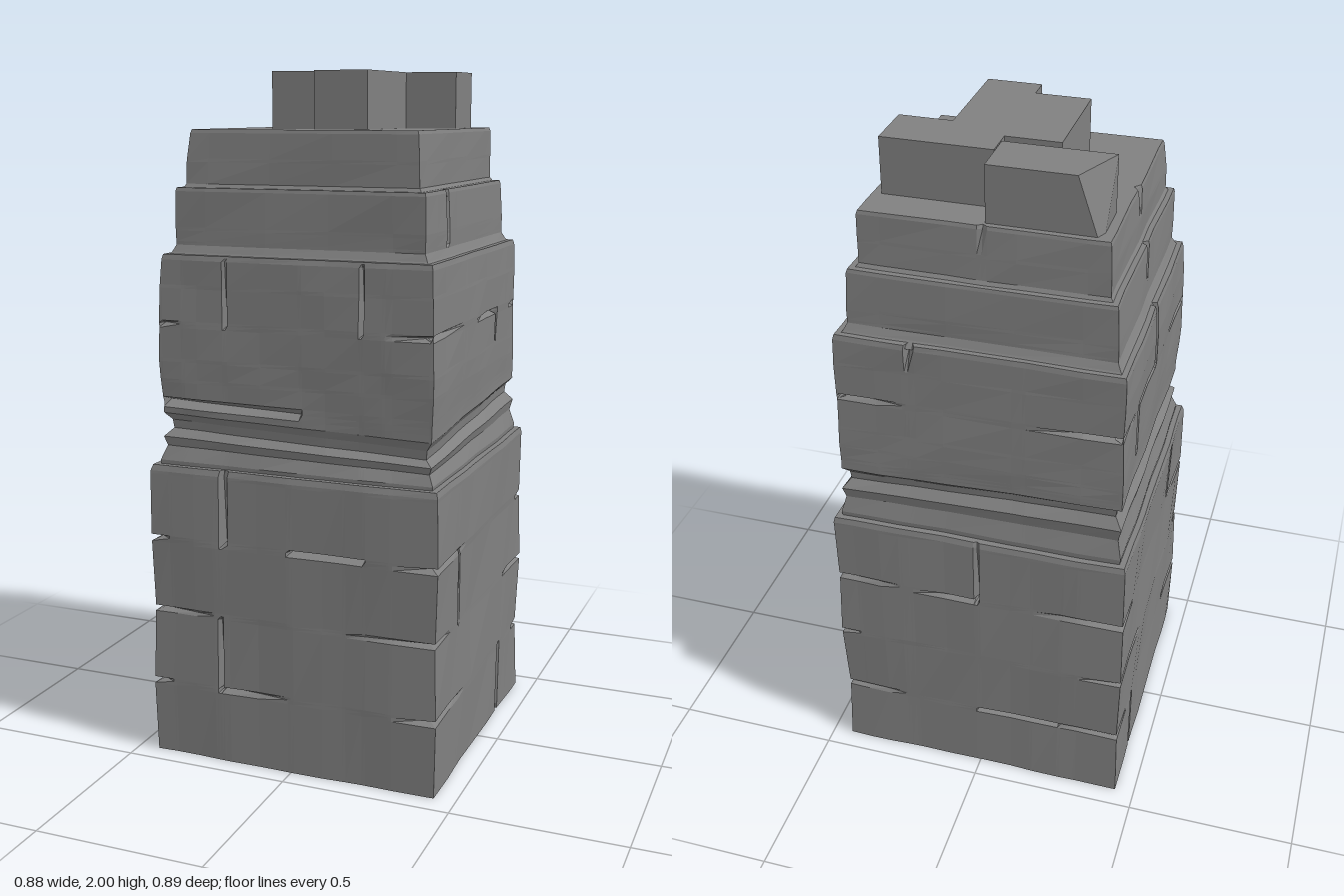
import * as THREE from 'three';

const stone = new THREE.MeshStandardMaterial({ color: 0x808080, flatShading: true });
// Wall directions: front, right (+x), back, left (-x); outward normal n and tangent t as [x, z]
const SIDES = [0, 1, 2, 3].map((k) => {
  const s = Math.round(Math.sin(k * Math.PI / 2)), c = Math.round(Math.cos(k * Math.PI / 2));
  return { n: [s, c], t: [c, -s] };
});
const EPS = 0.005;

// Cracks run along a wall (level) or up it (upright), with a depth at each end
const crack = (kind, side, at, from, to, d0, d1 = d0, w = 0.008) => ({ kind, side, at, from, to, d0, d1, w });
const level = (...args) => crack('level', ...args);
const upright = (...args) => crack('upright', ...args);

// Level joints opening at both corners of every wall, with varied lengths
function cornerJoints(heights, half) {
  return heights.flatMap((y, j) => SIDES.flatMap((_, s) => {
    const length = (k) => 0.06 + 0.07 * ((3 * s + 2 * j + k) % 4);
    return [level(s, y, -half, length(0) - half, 0.025, 0), level(s, y, half - length(1), half, 0, 0.025)];
  }));
}

// Sorted grid lines without near duplicates
const tidy = (list, lo, hi) => [...list, lo, hi].filter((v) => v >= lo && v <= hi)
  .sort((a, b) => a - b).filter((v, i, s) => i === 0 || v - s[i - 1] > 0.004);

function radiusAt(profile, y) {
  const i = Math.max(1, profile.findIndex((p) => y <= p[0]));
  const [y0, r0] = profile[i - 1], [y1, r1] = profile[i];
  return r0 + (r1 - r0) * (y - y0) / (y1 - y0);
}

// Uneven hewn surface
const wobble = (x, y, z) => 0.002 * Math.sin(9 * x + 13 * y + 4 * z)
  + 0.002 * Math.sin(17 * z - 11 * y + 2) + 0.0015 * Math.sin(23 * x + 31 * y);

function named(name, geo) {
  const mesh = new THREE.Mesh(geo, stone);
  mesh.name = name;
  return mesh;
}

// Square tier lofted through [height, half width] rings, with V-shaped cracks pushed in
function tier(name, profile, cracks, tilt = () => 0) {
  const bottom = profile[0][0], top = profile[profile.length - 1][0];
  const ref = Math.max(...profile.map((p) => p[1]));
  const rowList = profile.map((p) => p[0]);
  const colLists = SIDES.map(() => [-0.3, -0.1, 0.1, 0.3]);
  for (const { kind, side, at, from, to, w } of cracks) {
    const across = [at - w, at, at + w], along = [from - 0.01, from, to, to + 0.01];
    rowList.push(...(kind === 'level' ? across : along));
    colLists[side].push(...(kind === 'level' ? along : across));
  }
  const cols = colLists.map((list) => tidy(list, -ref, ref).slice(0, -1));
  const rings = tidy(rowList, bottom, top).map((y) => {
    const scale = radiusAt(profile, y) / ref, ring = [];
    SIDES.forEach(({ n, t }, k) => {
      for (const u of cols[k]) {
        const x = n[0] * ref + t[0] * u, z = n[1] * ref + t[1] * u;
        const p = [x * scale, z * scale];
        SIDES.forEach((wall, s) => {
          if (x * wall.n[0] + z * wall.n[1] < ref - 1e-6) return;
          const su = x * wall.t[0] + z * wall.t[1];
          let d = wobble(x, y, z);
          for (const c of cracks) {
            const [a, l] = c.kind === 'level' ? [y, su] : [su, y];
            if (c.side !== s || Math.abs(a - c.at) > EPS || l < c.from - EPS || l > c.to + EPS) continue;
            d -= THREE.MathUtils.lerp(c.d0, c.d1, THREE.MathUtils.clamp((l - c.from) / (c.to - c.from), 0, 1));
          }
          p[0] += wall.n[0] * d;
          p[1] += wall.n[1] * d;
        });
        ring.push([p[0], y + tilt(x, y, z), p[1]]);
      }
    });
    return ring;
  });
  const pos = [], tri = (a, b, c) => pos.push(...a, ...b, ...c);
  const count = rings[0].length, last = rings[rings.length - 1];
  for (let i = 0; i < count; i++) {
    const k = (i + 1) % count;
    for (let j = 0; j + 1 < rings.length; j++) {
      tri(rings[j][i], rings[j][k], rings[j + 1][k]);
      tri(rings[j][i], rings[j + 1][k], rings[j + 1][i]);
    }
    tri(last[i], last[k], [0, top, 0]);
    tri(rings[0][k], rings[0][i], [0, bottom + 0.018, 0]);
  }
  const geo = new THREE.BufferGeometry();
  geo.setAttribute('position', new THREE.Float32BufferAttribute(pos, 3));
  geo.computeVertexNormals();
  return named(name, geo);
}

function block(name, x0, x1, z0, z1, y0 = 1.8, y1 = 2) {
  const geo = new THREE.BoxGeometry(x1 - x0, y1 - y0, z1 - z0);
  geo.translate((x0 + x1) / 2, (y0 + y1) / 2, (z0 + z1) / 2);
  return named(name, geo);
}

const square = (Type, h) => new Type([[-h, -h], [h, -h], [h, h], [-h, h]].map(([x, y]) => new THREE.Vector2(x, y)));

export function createModel() {
  const tower = new THREE.Group();
  tower.name = 'stoneTower';

  // Lower body: four rough courses of masonry
  tower.add(tier('lowerBody', [[0, 0.438], [0.45, 0.439], [0.872, 0.439], [0.887, 0.434]], [
    ...cornerJoints([0.225, 0.45, 0.67], 0.44),
    level(0, 0.225, -0.22, 0, 0.025, 0),
    upright(0, -0.22, 0.225, 0.44, 0.025, 0.01),
    level(0, 0.67, 0, 0.22, 0.04, 0.04, 0.013),
    upright(0, -0.21, 0.67, 0.887, 0.04, 0.02, 0.018),
    upright(1, -0.23, 0.45, 0.66, 0.005, 0.03),
    upright(1, 0.21, 0, 0.225, 0.03, 0.03, 0.012),
    level(2, 0.67, -0.2, 0, 0, 0.03),
    upright(2, 0, 0.67, 0.887, 0.03, 0.005),
    level(2, 0.225, 0, 0.25, 0.035, 0.035, 0.012),
    upright(3, 0.22, 0.68, 0.86, 0.035, 0.035, 0.014),
    upright(3, -0.24, 0, 0.225, 0.02),
  ]));

  // Underside: slab with a square joint around its middle stone
  const slab = square(THREE.Shape, 0.43);
  slab.holes.push(square(THREE.Path, 0.24));
  const slabGeo = new THREE.ExtrudeGeometry(slab, { depth: 0.025, bevelEnabled: false });
  slabGeo.rotateX(-Math.PI / 2);
  tower.add(named('baseSlab', slabGeo), block('baseStone', -0.225, 0.225, -0.225, 0.225, 0, 0.025));

  // Pinched, slanting waist and the upper body
  const slant = (x, y, z) => -(0.035 * x + 0.06 * z) * Math.max(0, 1 - Math.abs(y - 1.01) / 0.12);
  tower.add(tier('waistAndUpperBody', [[0.86, 0.415], [0.9, 0.418], [0.945, 0.402], [0.975, 0.41],
    [1, 0.388], [1.025, 0.392], [1.045, 0.41], [1.48, 0.408], [1.495, 0.404]], [
    ...cornerJoints([1.3], 0.41),
    level(0, 1.075, -0.42, 0.02, 0.05, 0.02, 0.014),
    upright(0, -0.21, 1.3, 1.48, 0.02, 0.005),
    upright(0, 0.21, 1.3, 1.48, 0.03, 0.01),
    level(1, 1.3, 0, 0.21, 0, 0.03),
    upright(1, 0.21, 1.2, 1.3, 0, 0.03),
    upright(2, -0.2, 1.41, 1.495, 0, 0.04, 0.02),
    upright(3, 0, 1.3, 1.495, 0.035, 0.035, 0.013),
    level(3, 1.3, -0.22, 0, 0.035, 0.035, 0.012),
    upright(3, -0.22, 1.14, 1.3, 0.01, 0.035, 0.012),
  ], slant));

  // Two stepped tiers
  tower.add(tier('lowerStep', [[1.48, 0.4], [1.5, 0.385], [1.52, 0.374], [1.67, 0.37], [1.68, 0.367]], [
    upright(1, -0.19, 1.53, 1.68, 0.01, 0.04, 0.014),
    upright(3, 0, 1.57, 1.68, 0, 0.02, 0.015),
  ]));
  tower.add(tier('upperStep', [[1.66, 0.365], [1.69, 0.343], [1.83, 0.337], [1.84, 0.334]], [
    upright(2, 0, 1.76, 1.84, 0, 0.01, 0.015),
    upright(3, 0, 1.76, 1.84, 0, 0.015, 0.02),
  ]));

  // Broken crown of blocks; the back one has a chipped corner
  const chipped = block('chippedCrownBlock', -0.31, -0.003, -0.318, -0.165);
  const p = chipped.geometry.attributes.position;
  for (let i = 0; i < p.count; i++) {
    if (p.getX(i) < -0.2 && p.getY(i) > 1.9 && p.getZ(i) < -0.2) p.setX(i, -0.243);
  }
  tower.add(chipped,
    block('sideCrownBlock', 0, 0.312, -0.225, -0.07),
    block('centreCrownBlock', -0.155, 0.003, -0.133, 0.18),
    block('frontCrownBlock', 0.003, 0.16, -0.075, 0.248));
  return tower;
}
